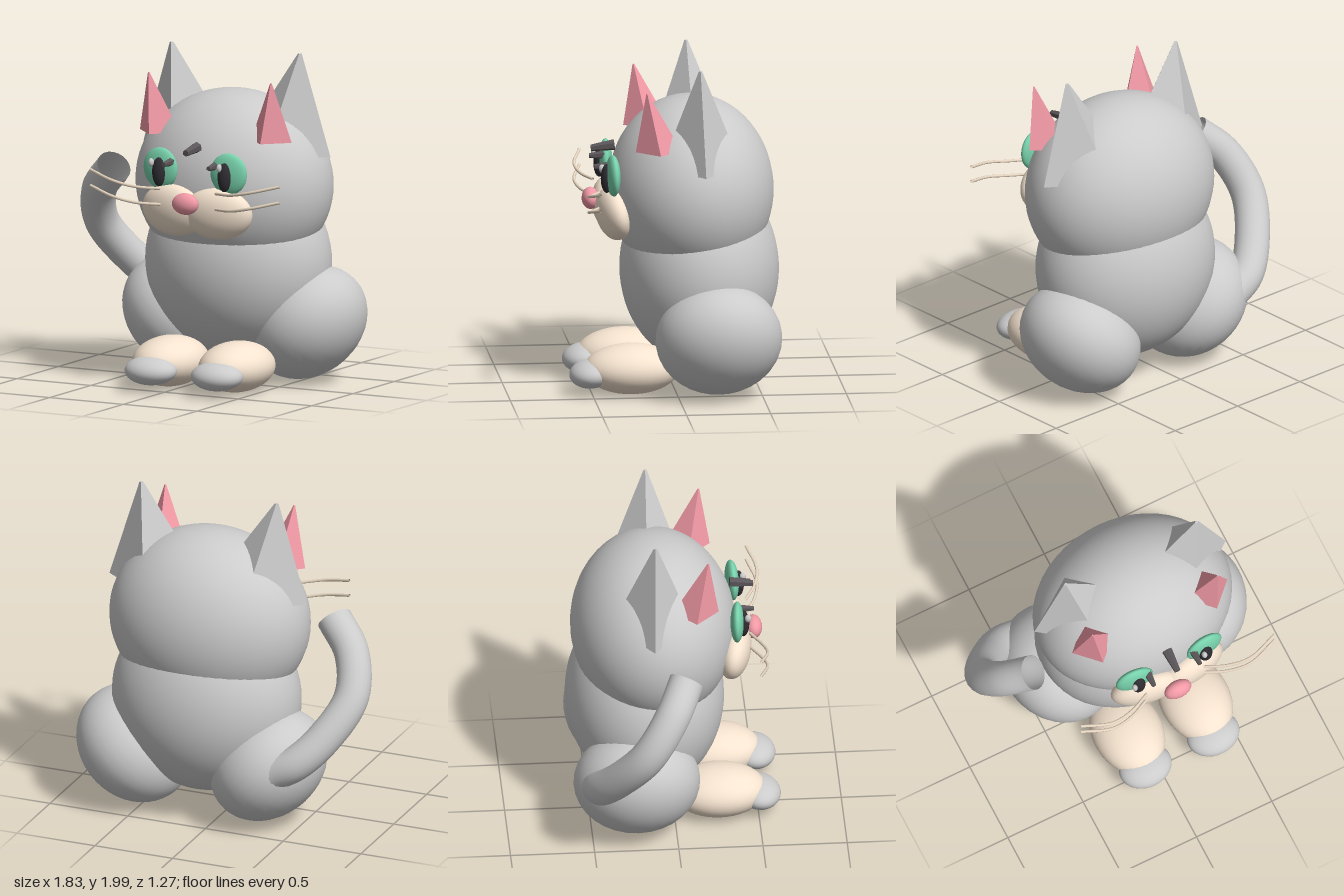
import * as THREE from 'three';

const mat = (color, extra = {}) => new THREE.MeshStandardMaterial({ color, ...extra });
const GREY = mat(0xcccccc);
const GREY_FLAT = mat(0xcccccc, { flatShading: true });
const GREY_OPEN = mat(0xcccccc, { side: THREE.DoubleSide });
const CREAM = mat(0xf5e3cf);
const PINK = mat(0xf29aa6);
const PINK_FLAT = mat(0xf29aa6, { flatShading: true });
const GREEN = mat(0x78d2ac);
const BLACK = mat(0x2e2c31);
const DARK = mat(0x5a5558, { flatShading: true });

const MID = 0.135; // the body's symmetry plane

export function createModel() {
  const model = new THREE.Group();
  model.name = 'sittingCat';

  const add = (name, geometry, material) => {
    const mesh = new THREE.Mesh(geometry, material);
    mesh.name = name;
    model.add(mesh);
    return mesh;
  };

  // Sphere stretched to three radii
  const ellipsoid = (name, [x, y, z], radii, material, rotation = [0, 0, 0], detail = 32) => {
    const mesh = add(name, new THREE.SphereGeometry(1, detail, Math.ceil(detail * 0.7)), material);
    mesh.position.set(x, y, z);
    mesh.scale.set(...radii);
    mesh.rotation.set(...rotation);
    return mesh;
  };

  // Four-sided ear whose blunt tip is sheared away from the base centre
  const ear = (name, base, tip, rx, rz, material) => {
    const g = new THREE.CylinderGeometry(0.04, 1, 1, 4, 1);
    const h = tip[1] - base[1];
    g.translate(0, 0.5, 0).scale(rx, h, rz);
    const p = g.attributes.position;
    for (let i = 0; i < p.count; i++) {
      const t = p.getY(i) / h;
      p.setX(i, p.getX(i) + t * (tip[0] - base[0]));
      p.setZ(i, p.getZ(i) + t * (tip[2] - base[2]));
    }
    g.computeVertexNormals();
    add(name, g, material).position.set(...base);
  };

  const tube = (name, points, radius, segments, sides, material) =>
    add(name, new THREE.TubeGeometry(
      new THREE.CatmullRomCurve3(points.map((p) => new THREE.Vector3(...p))),
      segments, radius, sides), material);

  // Tapered spike pointing forwards
  const spike = (name, [x, y, z], tipRadius, baseRadius, length, tilt) => {
    const g = new THREE.CylinderGeometry(tipRadius, baseRadius, length, 6);
    const mesh = add(name, g, DARK);
    mesh.position.set(x, y, z);
    mesh.rotation.x = Math.PI / 2 + tilt;
  };

  // Head, body and nose
  ellipsoid('head', [MID, 1.2, -0.11], [0.615, 0.56, 0.49], GREY, [0, 0, 0], 48);
  ellipsoid('body', [MID, 0.72, -0.16], [0.578, 0.58, 0.472], GREY, [0, 0, 0], 48);
  ellipsoid('nose', [MID, 1.15, 0.488], [0.087, 0.065, 0.052], PINK, [0, 0, 0], 16);
  spike('foreheadSpike', [MID, 1.462, 0.415], 0.02, 0.033, 0.14, 0.12);

  for (const s of [-1, 1]) {
    const side = s > 0 ? 'left' : 'right';
    const X = (d) => MID + s * d;

    // Haunch, foot and toes
    ellipsoid(side + 'Haunch', [X(0.43), 0.372, -0.235], [0.31, 0.375, 0.376], GREY, [0, 0, -s * Math.PI / 4]);
    ellipsoid(side + 'Foot', [X(0.225), 0.16, 0.265], [0.21, 0.15, 0.285], CREAM);
    ellipsoid(side + 'Toes', [X(0.225), 0.135, 0.505], [0.163, 0.085, 0.13], GREY, [0.1, 0, 0]);

    // Outer and inner ear
    ear(side + 'Ear', [X(0.315), 1.39, -0.14], [X(0.435), 2, -0.125], 0.32, 0.24, GREY_FLAT);
    ear(side + 'InnerEar', [X(0.378), 1.505, 0.118], [X(0.415), 1.865, 0.19], 0.137, 0.137, PINK_FLAT);

    // Cheek, eye and brow
    ellipsoid(side + 'Cheek', [X(0.15), 1.085, 0.365], [0.218, 0.157, 0.098], CREAM, [0.15, s * 0.15, 0]);
    ellipsoid(side + 'Eye', [X(0.231), 1.332, 0.375], [0.118, 0.124, 0.04], GREEN, [0, s * 0.08, 0]);
    ellipsoid(side + 'Pupil', [X(0.222), 1.315, 0.412], [0.042, 0.087, 0.036], BLACK, [0, 0, 0], 20);
    ellipsoid(side + 'EyeHighlight', [X(0.231) - 0.029, 1.372, 0.438], [0.017, 0.025, 0.02], GREY, [0, 0, 0], 12);
    spike(side + 'BrowSpike', [X(0.152), 1.375, 0.435], 0.014, 0.026, 0.09, 0.05);

    // Whiskers
    for (const [label, y] of [['Upper', 1.222], ['Lower', 1.127]]) {
      tube(side + label + 'Whisker', [
        [X(0.188), y, 0.455],
        [X(0.32), y + 0.01, 0.515],
        [X(0.46), y + 0.038, 0.54],
        [X(0.642), y + 0.083, 0.49],
      ], 0.009, 24, 8, mat(0xe6d5c0, { side: THREE.DoubleSide }));
    }
  }

  // Tail, open at its upper end
  const root = [-0.42, 0.42, -0.47];
  tube('tail', [
    root,
    [-0.56, 0.5, -0.455],
    [-0.7, 0.645, -0.36],
    [-0.812, 0.87, -0.2],
    [-0.755, 1.09, -0.06],
    [-0.6, 1.25, 0.04],
  ], 0.105, 48, 20, GREY_OPEN);
  ellipsoid('tailRoot', root, [0.104, 0.104, 0.104], GREY, [0, 0, 0], 20);

  return model;
}
